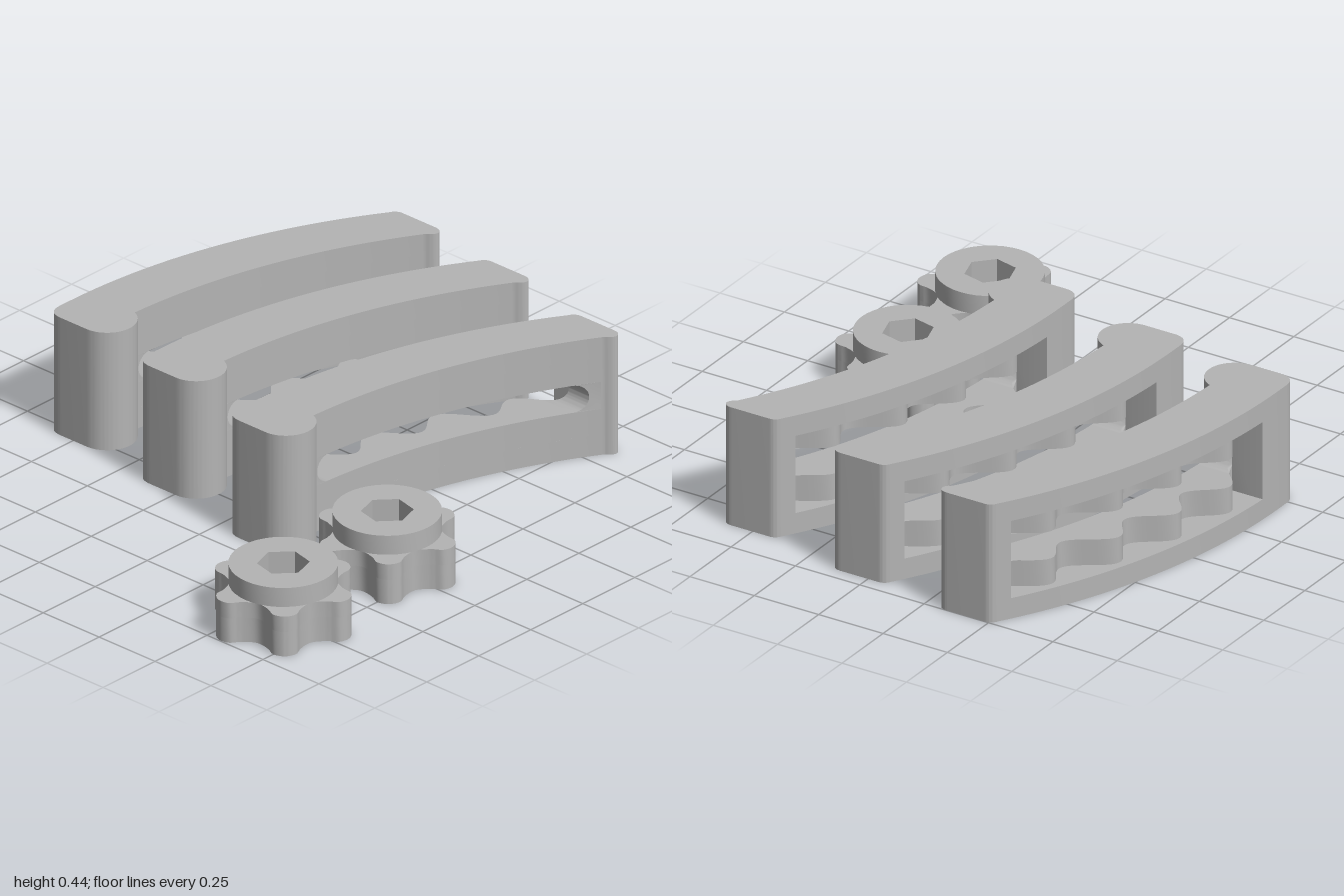
import * as THREE from 'three';
import { toCreasedNormals } from 'three/addons/utils/BufferGeometryUtils.js';

const HEIGHT = 0.435, POCKET_LOW = 0.075, POCKET_HIGH = 0.36;
const SLOT_LOW = 0.17, SLOT_HIGH = 0.27, POCKET_X0 = -0.1, POCKET_X1 = 0.935;

// Plan curves of a rail; v is the distance towards the back (-z)
const outer = x => Math.sqrt(2.18 ** 2 - (x + 0.2) ** 2) - 1.315;
const inner = x => outer(x) - 0.21;
const rack = x => outer(x) - 0.075 + 0.045 * Math.cos((x - 0.785) * Math.PI * 8);

function sample(f, a, b, n) {
  return Array.from({ length: n + 1 }, (_, i) => {
    const x = a + (b - a) * i / n;
    return new THREE.Vector2(x, f(x));
  });
}

// Extrude a plan shape upwards from y0 to y1
function upright(shape, y0, y1) {
  const g = new THREE.ExtrudeGeometry(shape, { depth: y1 - y0, bevelEnabled: false, curveSegments: 20 });
  g.rotateX(-Math.PI / 2).translate(0, y0, 0);
  return toCreasedNormals(g, 0.5);
}

// Strip of the rail lying between the inner curve and a back curve
function strip(back, n) {
  return new THREE.Shape([
    ...sample(inner, POCKET_X0, POCKET_X1, n),
    ...sample(back, POCKET_X1, POCKET_X0, n),
  ]);
}

function headShape() {
  const s = new THREE.Shape();
  s.moveTo(-0.1, outer(-0.1));
  s.lineTo(-0.15, outer(-0.15));
  s.lineTo(-0.2, 0.865);
  s.lineTo(-0.24, 0.865);
  s.quadraticCurveTo(-0.3, 0.865, -0.3, 0.805);
  s.lineTo(-0.3, 0.69);
  s.absarc(-0.2, 0.69, 0.1, Math.PI, Math.PI * 2 - 0.37, false);
  s.lineTo(-0.1, inner(-0.1));
  return s;
}

function tipShape() {
  const s = new THREE.Shape();
  s.moveTo(POCKET_X1, inner(POCKET_X1));
  s.lineTo(0.945, inner(0.945));
  s.quadraticCurveTo(0.968, 0.297, 0.985, 0.308);
  s.quadraticCurveTo(1, 0.315, 1, 0.34);
  s.lineTo(1, 0.485);
  s.quadraticCurveTo(1, 0.51, 0.975, outer(0.975));
  s.lineTo(POCKET_X1, outer(POCKET_X1));
  return s;
}

// Rounded end of the slot, bent to follow the rail's curves
function slotEnd(edgeX, endX, side) {
  const r = (SLOT_HIGH - SLOT_LOW) / 2, mid = (SLOT_HIGH + SLOT_LOW) / 2, cx = endX - side * r;
  const s = new THREE.Shape();
  s.moveTo(edgeX, SLOT_LOW);
  s.lineTo(edgeX, SLOT_HIGH);
  s.lineTo(cx, SLOT_HIGH);
  s.absarc(cx, mid, r, Math.PI / 2, -Math.PI / 2, side > 0);
  const g = new THREE.ExtrudeGeometry(s, { depth: 1, bevelEnabled: false, curveSegments: 16 });
  const p = g.attributes.position;
  for (let i = 0; i < p.count; i++) {
    const x = p.getX(i);
    p.setZ(i, p.getZ(i) > 0.5 ? -inner(x) : -rack(x));
  }
  return toCreasedNormals(g, 0.5);
}

// Six round teeth with shallow valleys between them
function gearShape() {
  const pts = [];
  const profile = [[0.195, -0.053], [0.2325, -0.0375], [0.248, 0], [0.2325, 0.0375], [0.195, 0.053]];
  for (let k = 0; k < 6; k++) {
    const a = (k * 60 - 16) * Math.PI / 180;
    for (const [u, w] of profile) {
      pts.push(new THREE.Vector3(u * Math.cos(a) - w * Math.sin(a), u * Math.sin(a) + w * Math.cos(a), 0));
    }
    const b = a + Math.PI / 6;
    pts.push(new THREE.Vector3(0.176 * Math.cos(b), 0.176 * Math.sin(b), 0));
  }
  const curve = new THREE.CatmullRomCurve3(pts, true);
  return new THREE.Shape(curve.getPoints(180).slice(0, -1).map(p => new THREE.Vector2(p.x, p.y)));
}

function discShape(r) {
  return new THREE.Shape().absarc(0, 0, r, 0, Math.PI * 2, false);
}

function withHole(shape, r, sides, turn = 0) {
  const pts = Array.from({ length: sides }, (_, i) => {
    const a = turn - i / sides * Math.PI * 2;
    return new THREE.Vector2(r * Math.cos(a), r * Math.sin(a));
  });
  shape.holes.push(new THREE.Path(pts));
  return shape;
}

export function createModel() {
  const model = new THREE.Group();
  const grey = new THREE.MeshStandardMaterial({ color: 0xb4b4b4 });
  grey.name = 'plain grey';

  const assemble = (name, parts, x, z) => {
    const group = new THREE.Group();
    group.name = name;
    for (const [partName, geometry] of Object.entries(parts)) {
      const mesh = new THREE.Mesh(geometry, grey);
      mesh.name = partName;
      group.add(mesh);
    }
    group.position.set(x, 0, z);
    model.add(group);
  };

  // Curved rails with a toothed pocket in the back and a slot through to the front
  const rail = {
    head: upright(headShape(), 0, HEIGHT),
    tip: upright(tipShape(), 0, HEIGHT),
    bottomBar: upright(strip(outer, 32), 0, POCKET_LOW),
    topBar: upright(strip(outer, 32), POCKET_HIGH, HEIGHT),
    lowerRack: upright(strip(rack, 80), POCKET_LOW, SLOT_LOW),
    upperRack: upright(strip(rack, 80), SLOT_HIGH, POCKET_HIGH),
    slotEndAtHead: slotEnd(POCKET_X0, -0.09, -1),
    slotEndAtTip: slotEnd(POCKET_X1, 0.9, 1),
  };
  assemble('frontRail', rail, -0.13, 0.92);
  assemble('middleRail', rail, -0.05, 0.445);
  assemble('backRail', rail, 0, 0);

  // Gear knobs with a round bore and a hexagonal recess
  const hexTurn = 17 * Math.PI / 180;
  const knob = {
    gearBase: upright(withHole(gearShape(), 0.05, 32), 0, 0.09),
    gearTop: upright(withHole(gearShape(), 0.087, 6, hexTurn), 0.09, 0.147),
    collar: upright(withHole(discShape(0.18), 0.087, 6, hexTurn), 0.147, 0.217),
  };
  assemble('rightGear', knob, -0.757, 0.615);
  assemble('leftGear', knob, -0.257, 0.615);

  return model;
}
